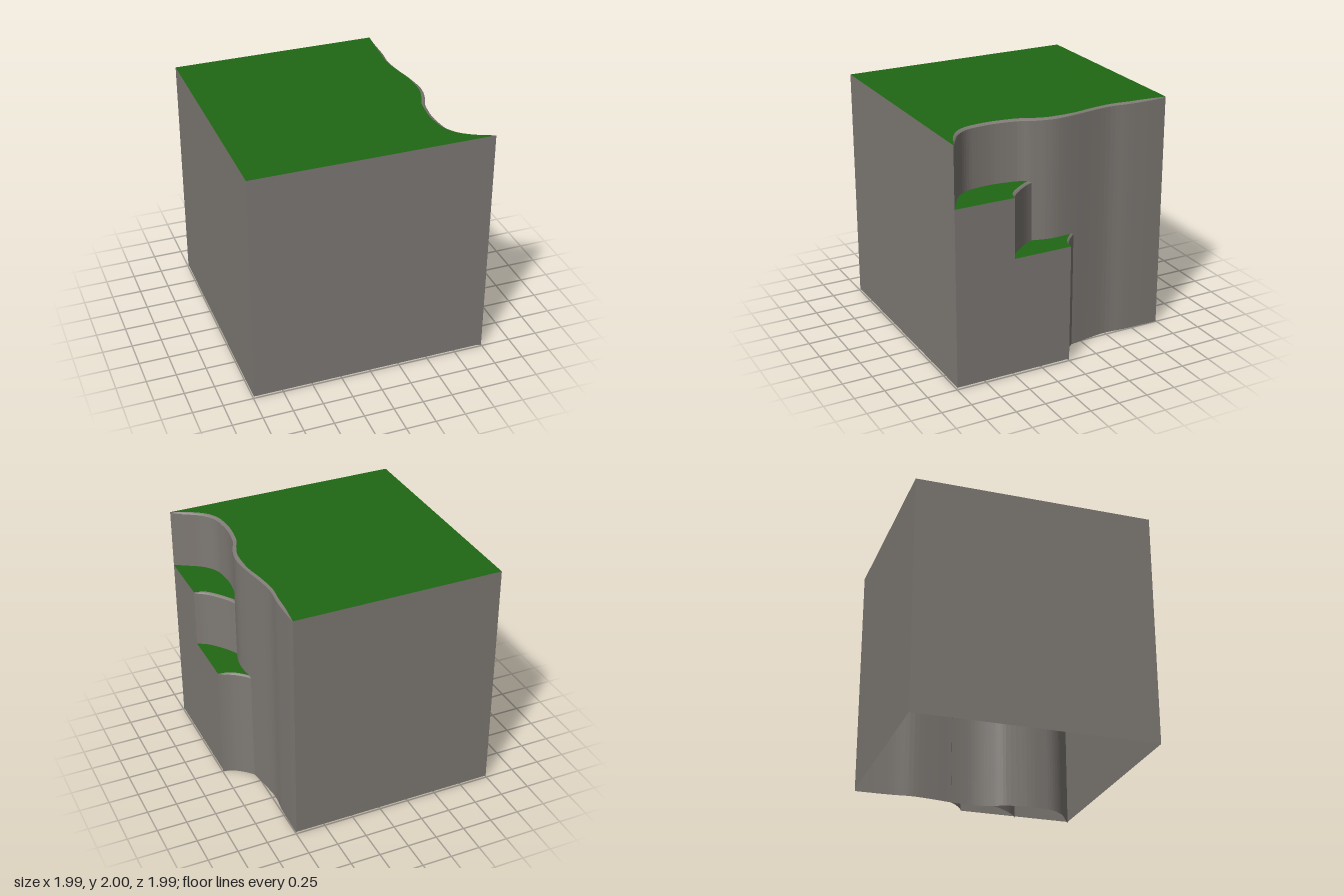
import * as THREE from 'three';

const S = 0.995; // half width of the block
const stone = new THREE.MeshStandardMaterial({ color: 0x7f7a75, flatShading: true, side: THREE.DoubleSide });
const grass = new THREE.MeshStandardMaterial({ color: 0x216814, side: THREE.DoubleSide });

// Samples a smooth plan curve through [x, z] points
function plan(points, n) {
  return new THREE.SplineCurve(points.map(([x, z]) => new THREE.Vector2(x, z))).getPoints(n);
}

// Surface joining rows of plan points, each row at its own height
function ribbon(name, rows) {
  const pos = [], index = [], n = rows[0].pts.length;
  rows.forEach(({ pts, y }) => pts.forEach((p) => pos.push(p.x, y, p.y)));
  for (let r = 0; r < rows.length - 1; r++) {
    for (let i = 0; i < n - 1; i++) {
      const a = r * n + i, b = a + n;
      index.push(a, b, a + 1, a + 1, b, b + 1);
    }
  }
  const geo = new THREE.BufferGeometry();
  geo.setAttribute('position', new THREE.Float32BufferAttribute(pos, 3));
  geo.setIndex(index);
  geo.computeVertexNormals();
  const mesh = new THREE.Mesh(geo, stone);
  mesh.name = name;
  return mesh;
}

// Upright wall with a narrow rounded lip rising to the grass edge
function cliffWall(name, outer, inner, top) {
  const mid = outer.map((p, i) => p.clone().lerp(inner[i], 0.5));
  return ribbon(name, [
    { pts: outer, y: 0 }, { pts: outer, y: top - 0.014 },
    { pts: mid, y: top - 0.005 }, { pts: inner, y: top },
  ]);
}

// Horizontal grass sheet over a plan outline
function lawn(name, outline, y) {
  const shape = new THREE.Shape(outline.map((p) => new THREE.Vector2(p.x, -p.y)));
  const mesh = new THREE.Mesh(new THREE.ShapeGeometry(shape).rotateX(-Math.PI / 2), grass);
  mesh.position.y = y;
  mesh.name = name;
  return mesh;
}

// Flat upright side between two plan points
function side(name, a, b, top) {
  const pts = [new THREE.Vector2(...a), new THREE.Vector2(...b)];
  return ribbon(name, [{ pts, y: 0.015 }, { pts, y: top }]);
}

export function createModel() {
  const group = new THREE.Group();
  group.name = 'steppedCliff';

  // Main cliff edge, from back to front: wall foot and grass edge
  const wall = plan([[0.745, -S], [0.742, -0.78], [0.737, -0.66], [0.722, -0.5], [0.742, -0.32],
    [0.77, -0.15], [0.785, 0], [0.775, 0.11], [0.74, 0.23], [0.7, 0.32], [0.673, 0.5],
    [0.678, 0.64], [0.7, 0.75], [0.77, 0.85], [0.87, 0.92], [S, S]], 60);
  const rim = plan([[0.745, -S], [0.724, -0.8], [0.716, -0.66], [0.702, -0.5], [0.722, -0.32],
    [0.753, -0.15], [0.757, 0], [0.747, 0.11], [0.707, 0.23], [0.67, 0.32], [0.646, 0.5],
    [0.65, 0.64], [0.672, 0.75], [0.73, 0.845], [0.84, 0.925], [S, S]], 60);
  group.add(cliffWall('cliffWall', wall, rim, 2));
  group.add(lawn('topGrass', [...rim, new THREE.Vector2(-S, S), new THREE.Vector2(-S, -S)], 2));

  // Straight sides of the block, open underneath
  group.add(side('frontSide', [-S, S], [S, S], 2));
  group.add(side('leftOuterSide', [-S, -S], [-S, S], 2));
  group.add(side('backSide', [0.745, -S], [-S, -S], 2));

  // Upper ledge
  const upperWall = plan([[0.745, 0.215], [0.785, 0.29], [0.86, 0.39], [0.925, 0.455], [S, 0.495]], 14);
  const upperRim = plan([[0.735, 0.25], [0.775, 0.315], [0.845, 0.41], [0.91, 0.47], [S, 0.495]], 14);
  const upperBack = wall.filter((p) => p.y > 0.25).reverse();
  group.add(cliffWall('upperLedgeWall', upperWall, upperRim, 1.5));
  group.add(lawn('upperLedgeGrass', [...upperRim, ...upperBack], 1.5));
  group.add(side('upperLedgeSide', [S, S], [S, 0.495], 1.5));

  // Lower ledge
  const lowerWall = plan([[0.768, -0.155], [0.82, -0.098], [0.885, -0.045], [0.94, -0.018], [S, 0]], 14);
  const lowerRim = plan([[0.775, -0.125], [0.812, -0.083], [0.875, -0.033], [0.935, -0.009], [S, 0]], 14);
  const lowerBack = wall.filter((p) => p.y > -0.12 && p.y < 0.21).reverse();
  group.add(cliffWall('lowerLedgeWall', lowerWall, lowerRim, 1));
  group.add(lawn('lowerLedgeGrass', [...lowerRim, ...upperWall.slice().reverse(), ...lowerBack], 1));
  group.add(side('lowerLedgeSide', [S, 0.495], [S, 0], 1));

  return group;
}
